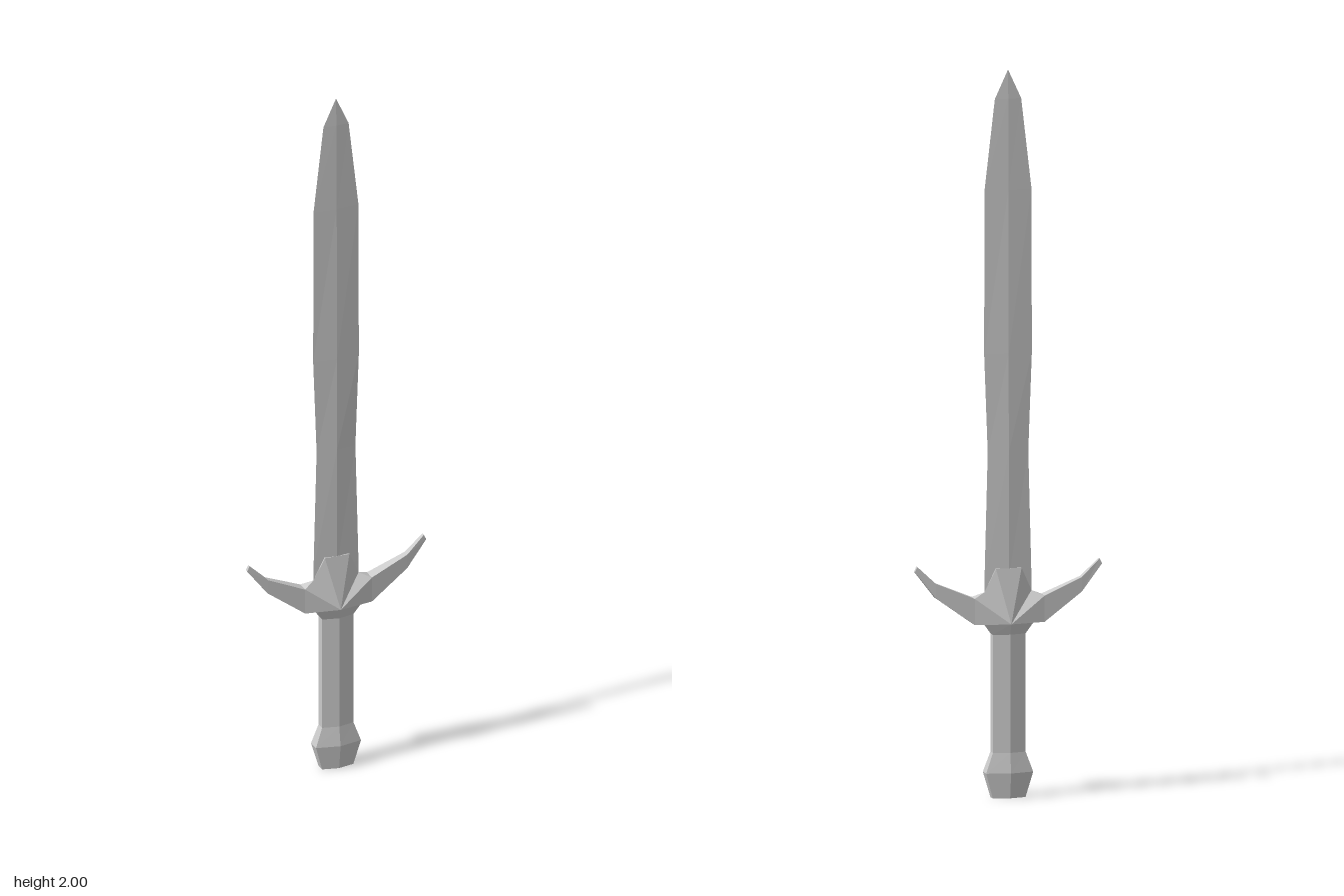
import * as THREE from 'three';

const material = new THREE.MeshStandardMaterial({ color: 0xcccccc, flatShading: true });

// Mesh from a list of triangles, each made of three [x, y, z] corners
function triMesh(name, tris) {
  const geometry = new THREE.BufferGeometry();
  geometry.setAttribute('position', new THREE.Float32BufferAttribute(tris.flat(2), 3));
  geometry.computeVertexNormals();
  const mesh = new THREE.Mesh(geometry, material);
  mesh.name = name;
  return mesh;
}

// Skin a series of rings (counter-clockwise seen from the far end), capping both ends
function loft(rings) {
  const tris = [];
  const n = rings[0].length;
  for (let r = 0; r < rings.length - 1; r++) {
    const a = rings[r], b = rings[r + 1];
    for (let i = 0; i < n; i++) {
      const j = (i + 1) % n;
      tris.push([a[i], a[j], b[j]], [a[i], b[j], b[i]]);
    }
  }
  const first = rings[0], last = rings[rings.length - 1];
  for (let i = 1; i < n - 1; i++) {
    tris.push([first[0], first[i + 1], first[i]], [last[0], last[i], last[i + 1]]);
  }
  return tris;
}

// Reflected copy along one axis (0 = x, 2 = z), with the winding restored
const mirror = (tris, axis) => tris.map(([a, b, c]) =>
  [a, c, b].map((p) => p.map((v, k) => (k === axis ? -v : v))));
const withMirror = (tris, axis) => [...tris, ...mirror(tris, axis)];

// Level cross-sections with half width w and half depth d
const hexRing = ([y, w, d]) =>
  [[0, 1], [1, 0.55], [1, -0.55], [0, -1], [-1, -0.55], [-1, 0.55]].map(([x, z]) => [x * w, y, z * d]);
const diamondRing = ([y, w, d]) => [[0, y, d], [w, y, 0], [0, y, -d], [-w, y, 0]];

export function createModel() {
  const sword = new THREE.Group();
  sword.name = 'sword';

  // Hexagonal pommel, grip and collar: [y, half width, half depth]
  sword.add(triMesh('pommel', loft([[0, 0.046, 0.022], [0.07, 0.066, 0.032], [0.125, 0.046, 0.023]].map(hexRing))));
  sword.add(triMesh('grip', loft([[0.125, 0.046, 0.023], [0.45, 0.046, 0.023]].map(hexRing))));
  sword.add(triMesh('collar', loft([[0.45, 0.046, 0.023], [0.48, 0.066, 0.034]].map(hexRing))));

  // Blade with a shallow central ridge, slightly waisted above the guard
  sword.add(triMesh('blade', loft([
    [0.5, 0.067, 0.008], [0.6, 0.066, 0.008], [0.95, 0.057, 0.008], [1.22, 0.067, 0.007],
    [1.67, 0.066, 0.005], [1.92, 0.037, 0.003], [2, 0, 0],
  ].map(diamondRing))));

  // Guard centre: one quarter, mirrored front to back and side to side
  const ridge = [0, 0.48, 0.034];
  const corner = [0.066, 0.48, 0.0187];
  const armLow = [0.098, 0.48, 0.018];
  const armHigh = [0.098, 0.552, 0.018];
  const notch = [0.066, 0.566, 0];
  const sleeve = [0.036, 0.63, 0.008];
  const quarter = [
    [ridge, corner, armLow], [ridge, armLow, armHigh], [ridge, armHigh, notch], [ridge, notch, sleeve],
    [ridge, sleeve, [0, 0.63, 0.008]],
    [notch, [0.036, 0.63, 0], sleeve],
    [notch, armHigh, [0.098, 0.552, 0]],
    [[0, 0.63, 0.008], sleeve, [0, 0.63, 0]], [sleeve, [0.036, 0.63, 0], [0, 0.63, 0]],
    [corner, [0.066, 0.48, 0], armLow], [armLow, [0.066, 0.48, 0], [0.098, 0.48, 0]],
  ];
  sword.add(triMesh('guardCentre', withMirror(withMirror(quarter, 2), 0)));

  // Upswept guard arms: [upper x, upper y, lower x, lower y, half depth]
  const arm = loft([
    [0.098, 0.552, 0.098, 0.48, 0.018],
    [0.205, 0.597, 0.205, 0.557, 0.01],
    [0.256, 0.645, 0.263, 0.631, 0.005],
  ].map(([ux, uy, lx, ly, d]) => [[ux, uy, -d], [ux, uy, d], [lx, ly, d], [lx, ly, -d]]));
  sword.add(triMesh('leftGuardArm', arm));
  sword.add(triMesh('rightGuardArm', mirror(arm, 0)));

  return sword;
}
